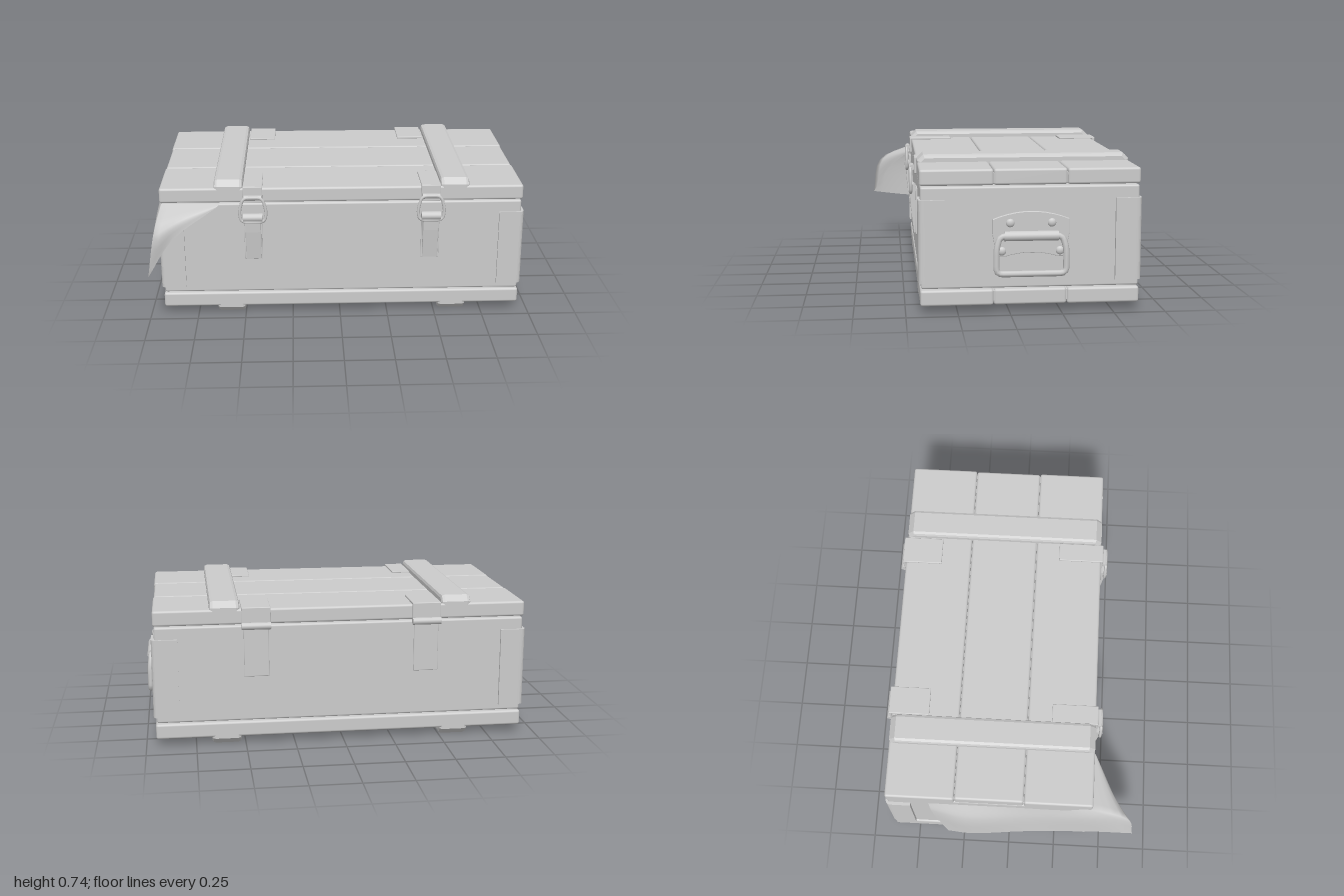
import * as THREE from 'three';
import { RoundedBoxGeometry } from 'three/addons/geometries/RoundedBoxGeometry.js';

const mat = new THREE.MeshStandardMaterial({ color: 0xcccccc });
const clothMat = new THREE.MeshStandardMaterial({ color: 0xcccccc, side: THREE.DoubleSide });

function add(parent, name, geo, x = 0, y = 0, z = 0, material = mat) {
  const m = new THREE.Mesh(geo, material);
  m.name = name;
  m.position.set(x, y, z);
  parent.add(m);
  return m;
}
const box = (w, h, d, r = 0.004) => new RoundedBoxGeometry(w, h, d, 2, r);
const V = (x, y, z) => new THREE.Vector3(x, y, z);

// Extrudes an outline of [z, y] points along x, centred on x = 0
function extrudeX(shape, width, bevel = 0) {
  const g = new THREE.ExtrudeGeometry(shape, {
    depth: width - 2 * bevel, bevelEnabled: bevel > 0, bevelThickness: bevel,
    bevelSize: bevel, bevelOffset: -bevel, bevelSegments: 2, curveSegments: 10,
  });
  g.translate(0, 0, -width / 2 + bevel);
  g.rotateY(-Math.PI / 2); // shape x -> z
  return g;
}
const outline = (pts) => new THREE.Shape(pts.map(([a, b]) => new THREE.Vector2(a, b)));

// Wire bent through straight corners with small rounded bends
function wire(pts, r) {
  const path = new THREE.CurvePath();
  const n = pts.length;
  const near = (a, b) => a.clone().lerp(b, Math.min(0.4, 0.03 / a.distanceTo(b)));
  for (let i = 0; i < n; i++) {
    const p = pts[i], q = pts[(i + 1) % n], s = pts[(i + 2) % n];
    path.add(new THREE.LineCurve3(near(p, q), near(q, p)));
    path.add(new THREE.QuadraticBezierCurve3(near(q, p), q, near(q, s)));
  }
  return new THREE.TubeGeometry(path, 64, r, 8, true);
}

// Three planks with their battens; used for the lid and, turned over, the base
function plankPanel(name) {
  const g = new THREE.Group();
  g.name = name;
  for (const [z, w, l] of [[-0.354, 0.352, 1.88], [0, 0.352, 1.872], [0.354, 0.352, 1.88]])
    add(g, 'plank', box(l, 0.078, w, 0.012), 0, 0.291, z);
  add(g, 'plankBacking', box(1.86, 0.055, 1.04), 0, 0.285, 0);
  const profile = outline([[-0.53, 0.296], [0.53, 0.296], [0.53, 0.338],
    [0.5, 0.368], [-0.5, 0.368], [-0.53, 0.338]]);
  for (const x of [-0.585, 0.585])
    add(g, 'batten', extrudeX(profile, 0.15, 0.018), x, 0, 0);
  return g;
}

// Toggle latch on the front wall and lid
function latch() {
  const g = new THREE.Group();
  g.name = 'latch';
  add(g, 'latchTopStrap', box(0.1, 0.012, 0.235), 0, 0.334, 0.42);
  add(g, 'latchLidPlate', box(0.1, 0.085, 0.012), 0, 0.297, 0.535);
  const hook = add(g, 'latchHook', new THREE.CylinderGeometry(0.014, 0.014, 0.09, 12), 0, 0.284, 0.552);
  hook.rotation.z = Math.PI / 2;
  add(g, 'latchBackPlate', box(0.094, 0.24, 0.012), 0, 0.06, 0.531);
  const lever = outline([[0.533, -0.05], [0.545, -0.055], [0.562, 0.1], [0.566, 0.19], [0.533, 0.19]]);
  add(g, 'latchLever', extrudeX(lever, 0.08, 0.004));
  const roll = add(g, 'latchPivot', new THREE.CylinderGeometry(0.022, 0.022, 0.1, 14), 0, 0.178, 0.553);
  roll.rotation.z = Math.PI / 2;
  add(g, 'latchBail', wire([V(-0.05, 0.287, 0.56), V(0.05, 0.287, 0.56),
    V(0.07, 0.21, 0.56), V(0.06, 0.155, 0.56), V(-0.06, 0.155, 0.56), V(-0.07, 0.21, 0.56)], 0.008));
  return g;
}

// Strap hinge on the back wall and lid
function hinge() {
  const g = new THREE.Group();
  g.name = 'hinge';
  add(g, 'hingeTopLeaf', box(0.145, 0.012, 0.21), 0, 0.334, -0.44);
  add(g, 'hingeLidLeaf', box(0.145, 0.08, 0.014), 0, 0.3, -0.538);
  const b = add(g, 'hingeBarrel', new THREE.CylinderGeometry(0.018, 0.018, 0.145, 14), 0, 0.246, -0.545);
  b.rotation.z = Math.PI / 2;
  add(g, 'hingeWallLeaf', box(0.125, 0.26, 0.012), 0, 0.115, -0.531);
  return g;
}

// Drop handle on the +x end wall
function handle() {
  const g = new THREE.Group();
  g.name = 'handle';
  const plate = new THREE.Shape();
  plate.moveTo(-0.185, 0.09);
  plate.quadraticCurveTo(0, 0.165, 0.185, 0.09);
  plate.lineTo(0.185, 0.02);
  plate.lineTo(0.165, -0.09);
  plate.lineTo(0.12, -0.09);
  plate.quadraticCurveTo(0, -0.055, -0.12, -0.09);
  plate.lineTo(-0.165, -0.09);
  plate.lineTo(-0.185, 0.02);
  add(g, 'handlePlate', extrudeX(plate, 0.014, 0.003), 0.941, 0, 0);
  for (const s of [-1, 1])
    for (const [z, y] of [[0.1, 0.072], [0.14, -0.064]]) {
      const rivet = add(g, 'handleRivet', new THREE.SphereGeometry(0.021, 14, 8), 0.947, y, s * z);
      rivet.scale.x = 0.6;
    }
  const sleeve = add(g, 'handleSleeve', new THREE.CylinderGeometry(0.024, 0.024, 0.26, 16), 0.957, 0.01, 0);
  sleeve.rotation.x = Math.PI / 2;
  add(g, 'handleRing', wire([V(0.96, 0.01, -0.15), V(0.96, 0.01, 0.15), V(0.967, -0.05, 0.168),
    V(0.967, -0.172, 0.168), V(0.967, -0.172, -0.168), V(0.967, -0.05, -0.168)], 0.015));
  return g;
}

// Rounded metal angle on a vertical edge of the body
function cornerGuard(sx, sz) {
  const X = 0.95, Z = 0.538, x = 0.82, z = 0.41, t = 0.04, r = 0.03;
  const s = new THREE.Shape();
  s.moveTo(sx * x, sz * Z);
  s.lineTo(sx * (X - r), sz * Z);
  s.quadraticCurveTo(sx * X, sz * Z, sx * X, sz * (Z - r));
  s.lineTo(sx * X, sz * z);
  s.lineTo(sx * (X - t), sz * z);
  s.lineTo(sx * (X - t), sz * (Z - t));
  s.lineTo(sx * x, sz * (Z - t));
  const g = new THREE.ExtrudeGeometry(s, { depth: 0.4, bevelEnabled: false, curveSegments: 6 });
  g.rotateX(Math.PI / 2);
  return g;
}

// Loose cloth caught under the lid: top, middle and lower rim, swept from the front round the -x end
function cloth() {
  const rows = [
    [[-0.62, 0.615, 0.42], [-0.78, 0.615, 0.42], [-0.92, 0.615, 0.42], [-0.935, 0.615, 0.3],
      [-0.935, 0.615, 0.05], [-0.935, 0.615, -0.2], [-0.935, 0.615, -0.41]],
    [[-0.63, 0.607, 0.437], [-0.82, 0.56, 0.53], [-0.945, 0.515, 0.62], [-0.957, 0.52, 0.36],
      [-0.965, 0.5, 0.07], [-0.985, 0.5, -0.22], [-0.955, 0.54, -0.4]],
    [[-0.64, 0.6, 0.445], [-0.86, 0.47, 0.57], [-0.975, 0.31, 0.66], [-0.972, 0.285, 0.44],
      [-0.985, 0.27, 0.1], [-1, 0.21, -0.2], [-0.985, 0.18, -0.33]],
  ];
  // smooth within the front flap and the end flap, with a fold between them
  const rail = (pts) => {
    const v = pts.map((p) => V(...p));
    const a = new THREE.CatmullRomCurve3(v.slice(0, 3)).getPoints(8);
    return [...a, ...new THREE.CatmullRomCurve3(v.slice(2)).getPoints(16).slice(1)];
  };
  const [top, mid, low] = rows.map(rail);
  const N = 8, pos = [], idx = [];
  top.forEach((p, i) => {
    const fall = new THREE.CatmullRomCurve3([p, mid[i], low[i]]);
    for (let j = 0; j <= N; j++) pos.push(...fall.getPoint(j / N).toArray());
  });
  for (let i = 0; i < top.length - 1; i++)
    for (let j = 0; j < N; j++) {
      const a = i * (N + 1) + j, b = a + N + 1;
      idx.push(a, b, a + 1, b, b + 1, a + 1);
    }
  const g = new THREE.BufferGeometry();
  g.setAttribute('position', new THREE.Float32BufferAttribute(pos, 3));
  g.setIndex(idx);
  g.computeVertexNormals();
  return g;
}

export function createModel() {
  const root = new THREE.Group();
  root.name = 'crate';
  const crate = new THREE.Group(); // centred on the box itself
  crate.name = 'crateBox';
  crate.position.set(0.01, 0.37, -0.1);
  root.add(crate);

  add(crate, 'body', box(1.868, 0.492, 1.052, 0.01));
  crate.add(plankPanel('lid'));
  const base = plankPanel('base');
  base.rotation.x = Math.PI;
  crate.add(base);

  for (const sx of [-1, 1])
    for (const sz of [-1, 1]) add(crate, 'cornerGuard', cornerGuard(sx, sz), 0, 0.185, 0);

  for (const s of [-1, 1]) {
    const l = latch();
    l.position.x = s * 0.46;
    const h = hinge();
    h.position.x = s * 0.43;
    const grip = handle();
    if (s < 0) grip.rotation.y = Math.PI;
    crate.add(l, h, grip);
  }

  add(root, 'cloth', cloth(), 0, 0, 0, clothMat);
  return root;
}
